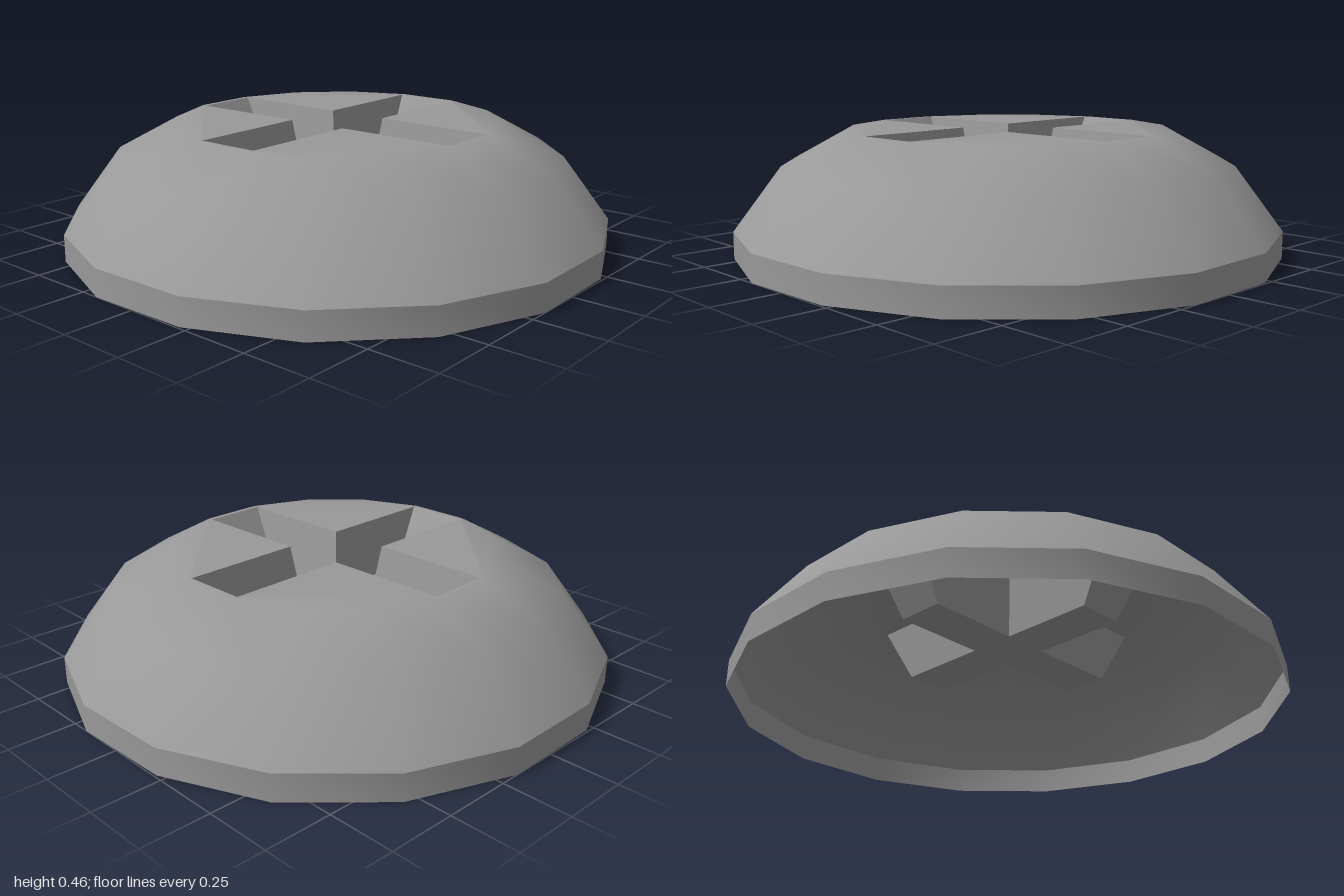
import * as THREE from 'three';
import { mergeGeometries, toCreasedNormals } from 'three/addons/utils/BufferGeometryUtils.js';

const SIDES = 16;
const TOP_Y = 0.46, FLOOR_Y = 0.24, TOP_R = 0.61;
const CREASE = 0.6;

// Twelve corners of a cross, counter-clockwise, from arm half-width and reach
function crossPoints(w, reach) {
  const points = [];
  for (let i = 0; i < 4; i++) {
    for (const [x, y] of [[reach, -w], [reach, w], [w, w]]) {
      points.push(new THREE.Vector2(x, y).rotateAround(new THREE.Vector2(), i * Math.PI / 2));
    }
  }
  return points;
}

// Flat horizontal sheet at a given height
function sheet(shape, y) {
  return new THREE.ShapeGeometry(shape).rotateX(-Math.PI / 2).translate(0, y, 0);
}

// Keep positions only, so that parts can be merged and shaded together
function bare(geometry) {
  const g = geometry.index ? geometry.toNonIndexed() : geometry;
  g.deleteAttribute('uv');
  g.deleteAttribute('normal');
  return g;
}

// Sloping walls between the slot opening and its floor
function slotWalls(top, floor) {
  const v = [];
  const put = (p, y) => v.push(p.x, y, -p.y);
  top.forEach((a, i) => {
    const j = (i + 1) % top.length;
    put(a, TOP_Y); put(top[j], TOP_Y); put(floor[j], FLOOR_Y);
    put(a, TOP_Y); put(floor[j], FLOOR_Y); put(floor[i], FLOOR_Y);
  });
  const g = new THREE.BufferGeometry();
  g.setAttribute('position', new THREE.Float32BufferAttribute(v, 3));
  return g;
}

export function createModel() {
  const group = new THREE.Group();
  group.name = 'screwHead';
  const material = new THREE.MeshStandardMaterial({ color: 0x999999, side: THREE.DoubleSide });
  const opening = crossPoints(0.12, 0.58);
  const floor = crossPoints(0.09, 0.45);

  // Domed shell, open underneath: crisp rim, two soft sloping bands and a flat top with a cross hole
  const profile = [[1.016, 0], [1.016, 0.1], [0.84, 0.335], [TOP_R, TOP_Y]]
    .map(([r, y]) => new THREE.Vector2(r, y));
  const side = new THREE.LatheGeometry(profile, SIDES, Math.PI / SIDES);
  const outline = Array.from({ length: SIDES }, (_, i) => {
    const a = (i + 0.5) * 2 * Math.PI / SIDES;
    return new THREE.Vector2(TOP_R * Math.cos(a), TOP_R * Math.sin(a));
  });
  const topShape = new THREE.Shape(outline);
  topShape.holes.push(new THREE.Path(opening));
  const domeGeometry = mergeGeometries([bare(side), bare(sheet(topShape, TOP_Y))]);
  const dome = new THREE.Mesh(toCreasedNormals(domeGeometry, CREASE), material);
  dome.name = 'dome';

  // Cross-shaped driver slot
  const slotGeometry = mergeGeometries([
    slotWalls(opening, floor),
    bare(sheet(new THREE.Shape(floor), FLOOR_Y)),
  ]);
  const slot = new THREE.Mesh(toCreasedNormals(slotGeometry, CREASE), material);
  slot.name = 'crossSlot';

  // The whole head is turned very slightly
  for (const part of [dome, slot]) {
    part.rotation.y = 0.02;
    group.add(part);
  }
  return group;
}
